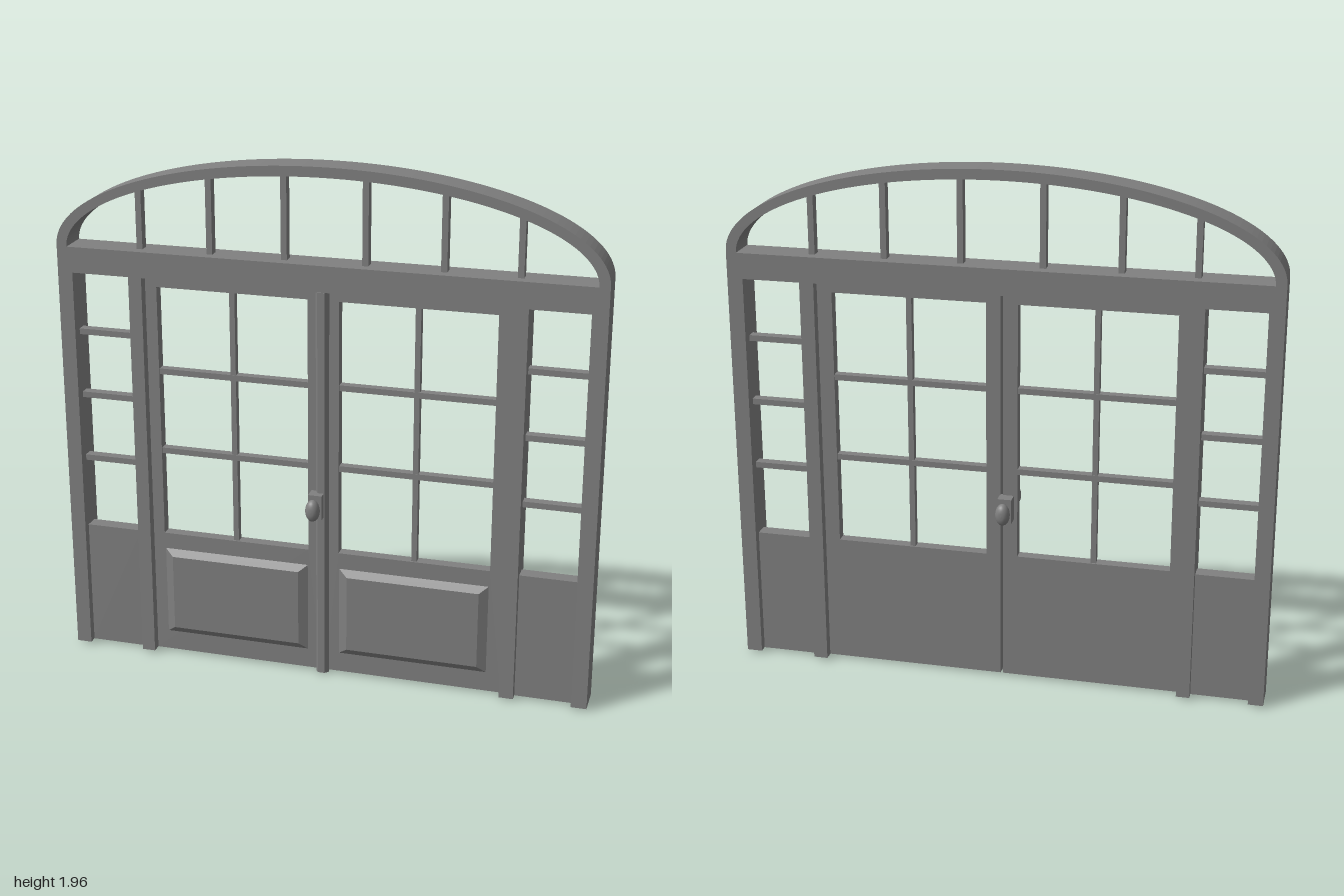
import * as THREE from 'three';

const grey = new THREE.MeshStandardMaterial({ color: 0x808080 });
grey.name = 'painted grey';

const BASE = 0.01;      // underside of the frame
const MID = -0.004;     // middle of the wall thickness
const SPRING = 1.612;   // where the arch starts
const DOOR = 0.042;     // door thickness
const FACE = MID + DOOR / 2;

function add(parent, name, geometry) {
  const mesh = new THREE.Mesh(geometry, grey);
  mesh.name = name;
  parent.add(mesh);
  return mesh;
}

// Box given by its edges in x, y and z
function block(parent, name, x0, x1, y0, y1, z0, z1) {
  const mesh = add(parent, name, new THREE.BoxGeometry(x1 - x0, y1 - y0, z1 - z0));
  mesh.position.set((x0 + x1) / 2, (y0 + y1) / 2, (z0 + z1) / 2);
  return mesh;
}

function extrude(shape, depth) {
  const g = new THREE.ExtrudeGeometry(shape, { depth, bevelEnabled: false, curveSegments: 40 });
  return g.translate(0, 0, MID - depth / 2);
}

// Posts, header and arch in one piece, open at the bottom
function frameGeometry() {
  const s = new THREE.Shape();
  s.moveTo(1, BASE);
  s.lineTo(1, SPRING);
  s.absellipse(0, SPRING, 1, 0.343, 0, Math.PI, false, 0);
  s.lineTo(-1, BASE);
  for (const [a, b] of [[-0.944, -0.728], [-0.678, 0.675], [0.728, 0.942]]) {
    s.lineTo(a, BASE);
    s.lineTo(a, 1.51);
    s.lineTo(b, 1.51);
    s.lineTo(b, BASE);
  }
  const fan = new THREE.Path();
  fan.moveTo(0.962, 1.606);
  fan.absellipse(0, 1.606, 0.962, 0.312, 0, Math.PI, false, 0);
  fan.closePath();
  s.holes.push(fan);
  return extrude(s, 0.116);
}

// Raised field with four sloping sides, made by narrowing the front of a box
function raisedField(w, h, d, bx, by) {
  const g = new THREE.BoxGeometry(w, h, d).toNonIndexed();
  const p = g.attributes.position;
  for (let i = 0; i < p.count; i++) {
    if (p.getZ(i) > 0) {
      p.setX(i, p.getX(i) - Math.sign(p.getX(i)) * bx);
      p.setY(i, p.getY(i) - Math.sign(p.getY(i)) * by);
    }
  }
  g.computeVertexNormals();
  return g;
}

// One door leaf: glazed top, raised lower field and glazing bars
function doorLeaf(name, x0, x1, g0, g1) {
  const door = new THREE.Group();
  door.name = name;
  const s = new THREE.Shape();
  s.moveTo(x0, BASE); s.lineTo(x1, BASE); s.lineTo(x1, 1.51); s.lineTo(x0, 1.51); s.closePath();
  const hole = new THREE.Path();
  hole.moveTo(g0, 0.5); hole.lineTo(g0, 1.47); hole.lineTo(g1, 1.47); hole.lineTo(g1, 0.5); hole.closePath();
  s.holes.push(hole);
  add(door, 'doorPanel', extrude(s, DOOR));

  const field = add(door, 'raisedField', raisedField(g1 - g0 - 0.006, 0.35, 0.018, 0.033, 0.026));
  field.position.set((g0 + g1) / 2, 0.262, FACE + 0.009);

  const cx = (g0 + g1) / 2;
  block(door, 'verticalGlazingBar', cx - 0.01, cx + 0.01, 0.5, 1.47, MID - 0.014, MID + 0.014);
  for (const y of [0.835, 1.147]) {
    block(door, 'horizontalGlazingBar', g0, g1, y - 0.011, y + 0.011, MID - 0.016, MID + 0.016);
  }
  return door;
}

// Backplate, stem and oval domed knob pointing along +z
function handle(name) {
  const h = new THREE.Group();
  h.name = name;
  block(h, 'handlePlate', -0.026, 0.026, -0.047, 0.047, 0.018, 0.07);
  const stem = add(h, 'handleStem', new THREE.CylinderGeometry(0.013, 0.013, 0.03, 20));
  stem.rotation.x = Math.PI / 2;
  stem.position.z = 0.082;
  const profile = [[0, 0], [0.85, 0], [0.97, 0.1], [1, 0.25], [0.95, 0.5], [0.8, 0.75], [0.55, 0.92], [0.28, 0.985], [0, 1]]
    .map(([r, y]) => new THREE.Vector2(r, y));
  const knob = add(h, 'knob', new THREE.LatheGeometry(profile, 28));
  knob.rotation.x = Math.PI / 2;
  knob.scale.set(0.027, 0.034, 0.042);
  knob.position.z = 0.09;
  return h;
}

export function createModel() {
  const model = new THREE.Group();
  model.name = 'archedDoorway';

  add(model, 'frame', frameGeometry());

  // Fanlight bars, each reaching up into the arch
  for (const x of [-0.695, -0.43, -0.153, 0.143, 0.423, 0.69]) {
    const top = 1.612 + 0.312 * Math.sqrt(1 - (x / 0.962) ** 2);
    block(model, 'fanlightBar', x - 0.011, x + 0.011, 1.6, top, MID - 0.018, MID + 0.018);
  }

  // Side lights with a solid lower panel and three bars
  for (const [side, a, b] of [['right', -0.944, -0.728], ['left', 0.728, 0.942]]) {
    const light = new THREE.Group();
    light.name = side + 'SideLight';
    block(light, 'lowerPanel', a, b, BASE, 0.5, MID - 0.027, MID + 0.027);
    for (const y of [0.775, 1.028, 1.275]) {
      block(light, 'sideGlazingBar', a, b, y - 0.011, y + 0.011, MID - 0.018, MID + 0.018);
    }
    model.add(light);
  }

  model.add(doorLeaf('rightDoor', -0.678, -0.013, -0.635, -0.066));
  model.add(doorLeaf('leftDoor', -0.003, 0.675, 0.05, 0.62));

  // Bevelled strip covering the joint between the doors
  const strip = add(model, 'meetingStrip', raisedField(0.05, 1.508, 0.022, 0.012, 0.004));
  strip.position.set(-0.011, 0.754, FACE + 0.011);

  const front = handle('frontHandle');
  front.position.set(-0.027, 0.695, -0.004);
  const back = handle('backHandle');
  back.position.set(-0.027, 0.695, 0.004);
  back.rotation.y = Math.PI;
  back.position.z = 0.002;
  model.add(front, back);

  return model;
}
